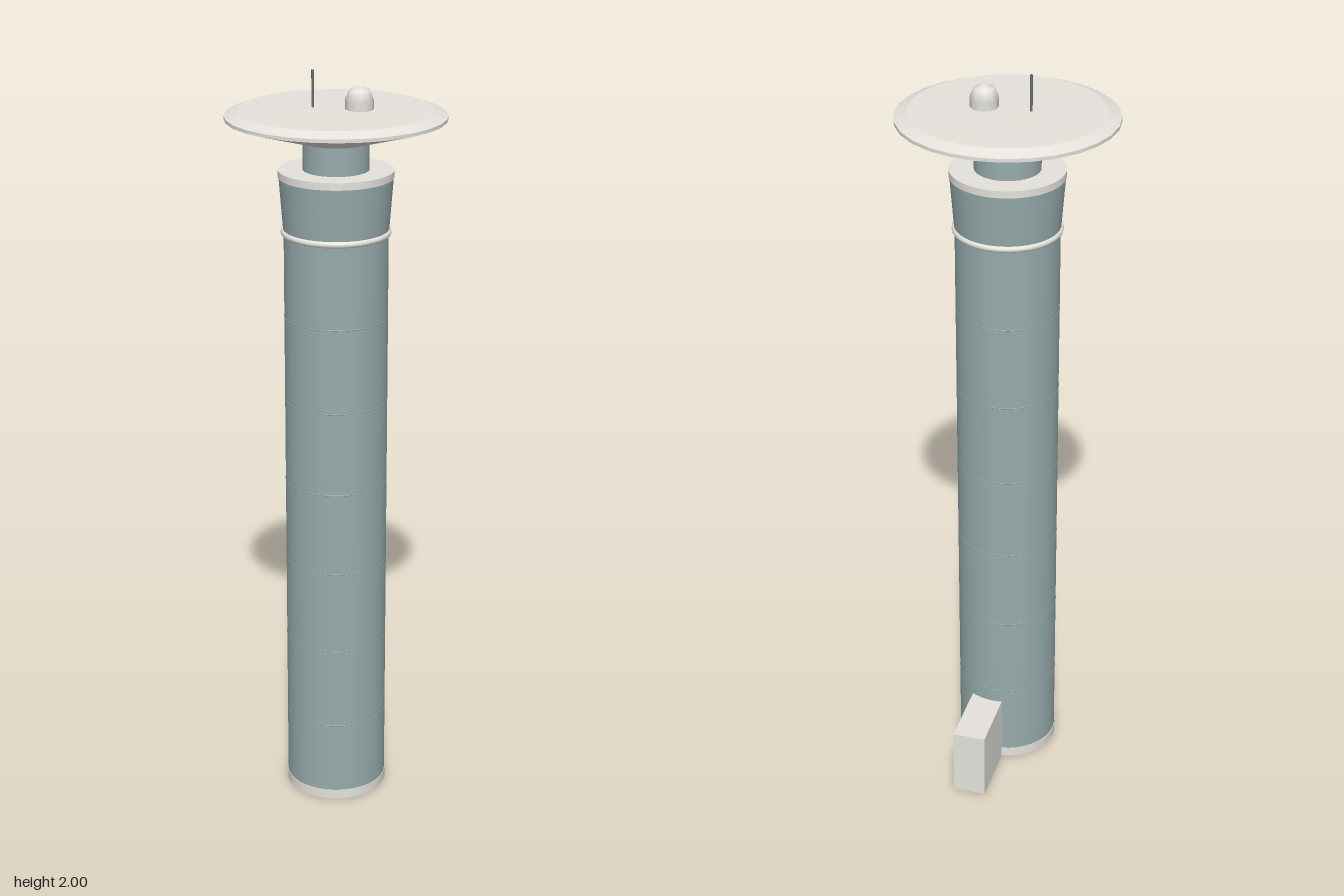
import * as THREE from 'three';

export function createModel() {
  const model = new THREE.Group();
  model.name = 'tower';

  const mat = (name, color, side = THREE.FrontSide) => {
    const m = new THREE.MeshStandardMaterial({ color, side });
    m.name = name;
    return m;
  };
  const teal = mat('tealCladding', 0x97abac, THREE.DoubleSide);
  const pale = mat('paleTrim', 0xe5e2dc, THREE.DoubleSide);
  const metal = mat('antennaMetal', 0x6c6f72);

  // Everything round shares one axis, set slightly forward of the centre
  const axis = new THREE.Group();
  axis.name = 'towerBody';
  axis.position.z = 0.0135;
  model.add(axis);

  const add = (name, geo, material, x = 0, y = 0, z = 0, parent = axis) => {
    const mesh = new THREE.Mesh(geo, material);
    mesh.name = name;
    mesh.position.set(x, y, z);
    parent.add(mesh);
  };
  const lathe = (pts, seg) =>
    new THREE.LatheGeometry(pts.map(([r, y]) => new THREE.Vector2(r, y)), seg);
  const tube = (rTop, rBottom, y0, y1, seg = 40, open = true) =>
    new THREE.CylinderGeometry(rTop, rBottom, y1 - y0, seg, 1, open).translate(0, (y0 + y1) / 2, 0);
  const annulus = (r0, r1, up) =>
    new THREE.RingGeometry(r0, r1, 40).rotateX(up ? -Math.PI / 2 : Math.PI / 2);
  const hoop = (r, t, sides) => new THREE.TorusGeometry(r, t, sides, 40).rotateX(Math.PI / 2);

  // Hollow shaft with a base band
  add('shaft', tube(0.135, 0.135, 0, 1.6), teal);
  add('baseBand', tube(0.1363, 0.1363, 0, 0.027), pale);
  add('baseBandBottom', annulus(0.134, 0.1363, false), pale);
  add('baseBandTop', annulus(0.134, 0.1363, true), pale, 0, 0.027);

  // Very fine joints that only just break the outline of the shaft
  for (let i = 1; i <= 6; i++) add('shaftJoint', hoop(0.1336, 0.002, 16), teal, 0, i * 0.227);

  // Flared head with trim ring and cap
  add('trimRing', hoop(0.1335, 0.009, 12), pale, 0, 1.588);
  add('flaredHead', tube(0.147, 0.136, 1.592, 1.735), teal);
  add('headCapBand', tube(0.1485, 0.1485, 1.731, 1.75), pale);
  add('headCapTop', annulus(0.07, 0.1485, true), pale, 0, 1.75);
  add('headCapBottom', annulus(0.143, 0.1485, false), pale, 0, 1.731);
  add('neck', tube(0.085, 0.085, 1.745, 1.83), teal);

  // Broad saucer roof
  add('roofUnderside', lathe([[0, 1.822], [0.085, 1.822], [0.283, 1.881]], 28), pale);
  add('roofRim', tube(0.283, 0.283, 1.881, 1.89, 28), pale);
  add('roofEdge', lathe([[0.283, 1.89], [0.25, 1.903]], 28), pale);
  add('roofTop', lathe([[0.25, 1.903], [0.09, 1.906], [0, 1.906]], 28), pale);

  // Domed beacon and antenna on the roof
  add('beaconBase', tube(0.036, 0.036, 1.9, 1.93, 10), pale, 0.06);
  add('beaconDome', new THREE.SphereGeometry(0.0375, 10, 2, 0, Math.PI * 2, 0, Math.PI / 2), pale, 0.06, 1.929);
  add('antenna', tube(0.0035, 0.0035, 1.9, 2.0, 8, false), metal, -0.06);

  // Entrance block at the back
  add('entranceBlock', new THREE.BoxGeometry(0.089, 0.19, 0.2), pale, 0.0245, 0.095, -0.197, model);

  return model;
}
